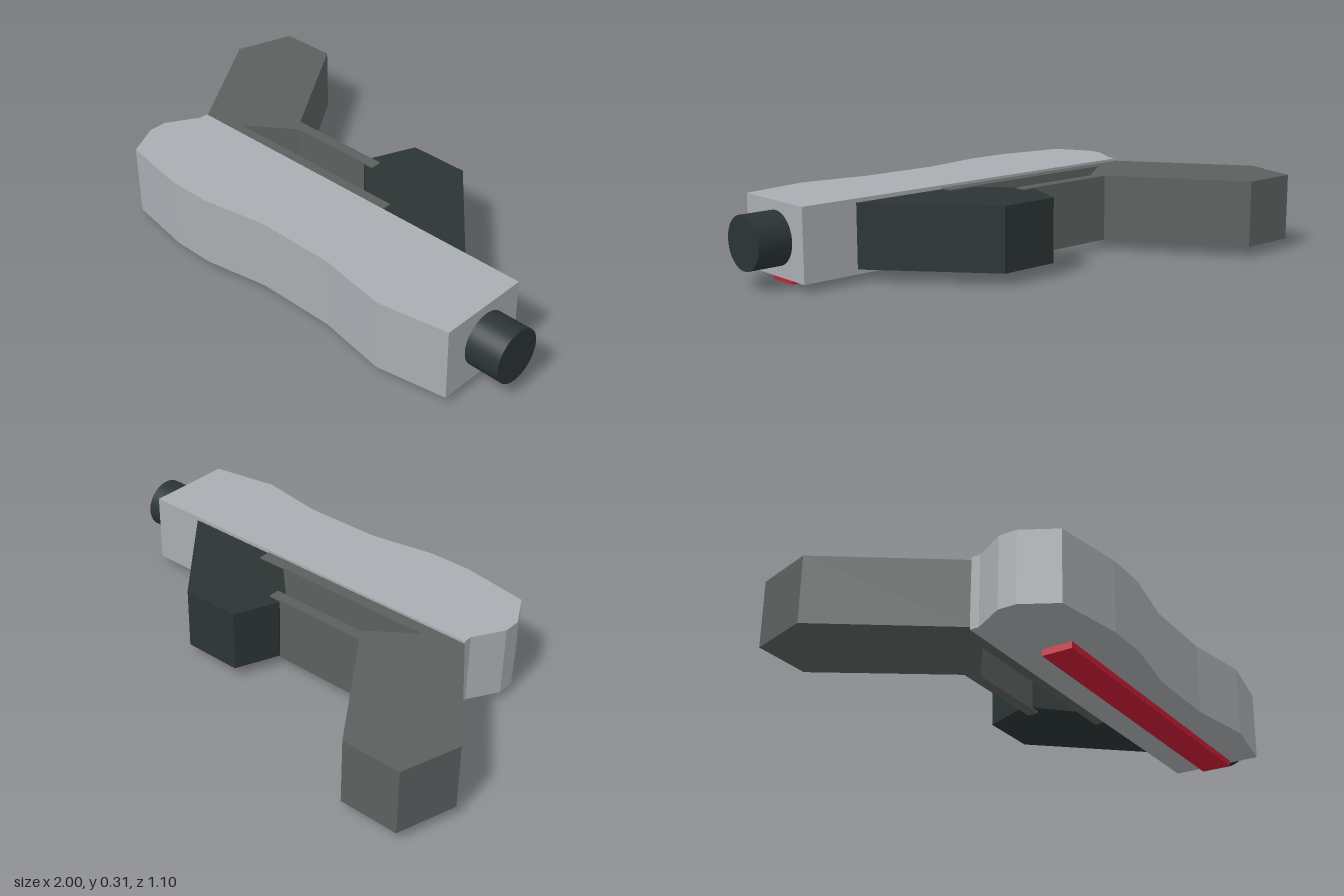
import * as THREE from 'three';

const paint = (name, color) => {
  const m = new THREE.MeshStandardMaterial({ color });
  m.name = name;
  return m;
};

export function createModel() {
  const group = new THREE.Group();
  const lightGrey = paint('light grey', 0xa9adb1);
  const midGrey = paint('mid grey', 0x5b605f);
  const darkGrey = paint('dark grey', 0x2b3434);
  const red = paint('red', 0xcc1c35);

  const add = (name, geometry, material) => {
    const mesh = new THREE.Mesh(geometry, material);
    mesh.name = name;
    group.add(mesh);
    return mesh;
  };

  // Plate with an outline given as (x, z), standing from height y0 to y1
  const slab = (name, outline, y0, y1, material) => {
    const shape = new THREE.Shape(outline.map(([x, z]) => new THREE.Vector2(x, -z)));
    const geometry = new THREE.ExtrudeGeometry(shape, { depth: y1 - y0, bevelEnabled: false });
    geometry.rotateX(-Math.PI / 2).translate(0, y0, 0);
    return add(name, geometry, material);
  };

  // Long body with a wavy front edge and a chamfered end
  slab('body', [
    [-0.68, 0.145], [0.866, 0.145], [0.866, 0.5], [0.6, 0.545], [0.33, 0.5], [0.015, 0.5],
    [-0.24, 0.545], [-0.41, 0.545], [-0.68, 0.5], [-0.75, 0.37], [-0.75, 0.3], [-0.68, 0.18],
  ], 0.03, 0.305, lightGrey);

  // Angled handle, with the guard bar and the rail along the body
  slab('handle', [
    [-0.93, -0.55], [-0.7, -0.55], [-0.385, -0.08], [0.04, -0.08], [0.04, -0.035],
    [-0.35, -0.035], [-0.53, 0.095], [0.25, 0.095], [0.25, 0.145], [-0.68, 0.145], [-1, -0.32],
  ], 0.04, 0.295, midGrey);

  // Slanted front grip closing the guard
  slab('frontGrip', [
    [0.06, -0.255], [0.295, -0.255], [0.64, 0.145], [0.18, 0.145], [0, -0.035], [-0.01, -0.085],
  ], 0.048, 0.29, darkGrey);

  // Round nozzle at the end of the body
  const nozzle = new THREE.CylinderGeometry(0.1, 0.1, 0.15, 48).rotateZ(-Math.PI / 2);
  add('nozzle', nozzle, darkGrey).position.set(0.925, 0.17, 0.313);

  // Flat strip beneath the body
  const strip = new THREE.BoxGeometry(1.27, 0.025, 0.118);
  add('strip', strip, red).position.set(0.195, 0.0125, 0.336);

  return group;
}
